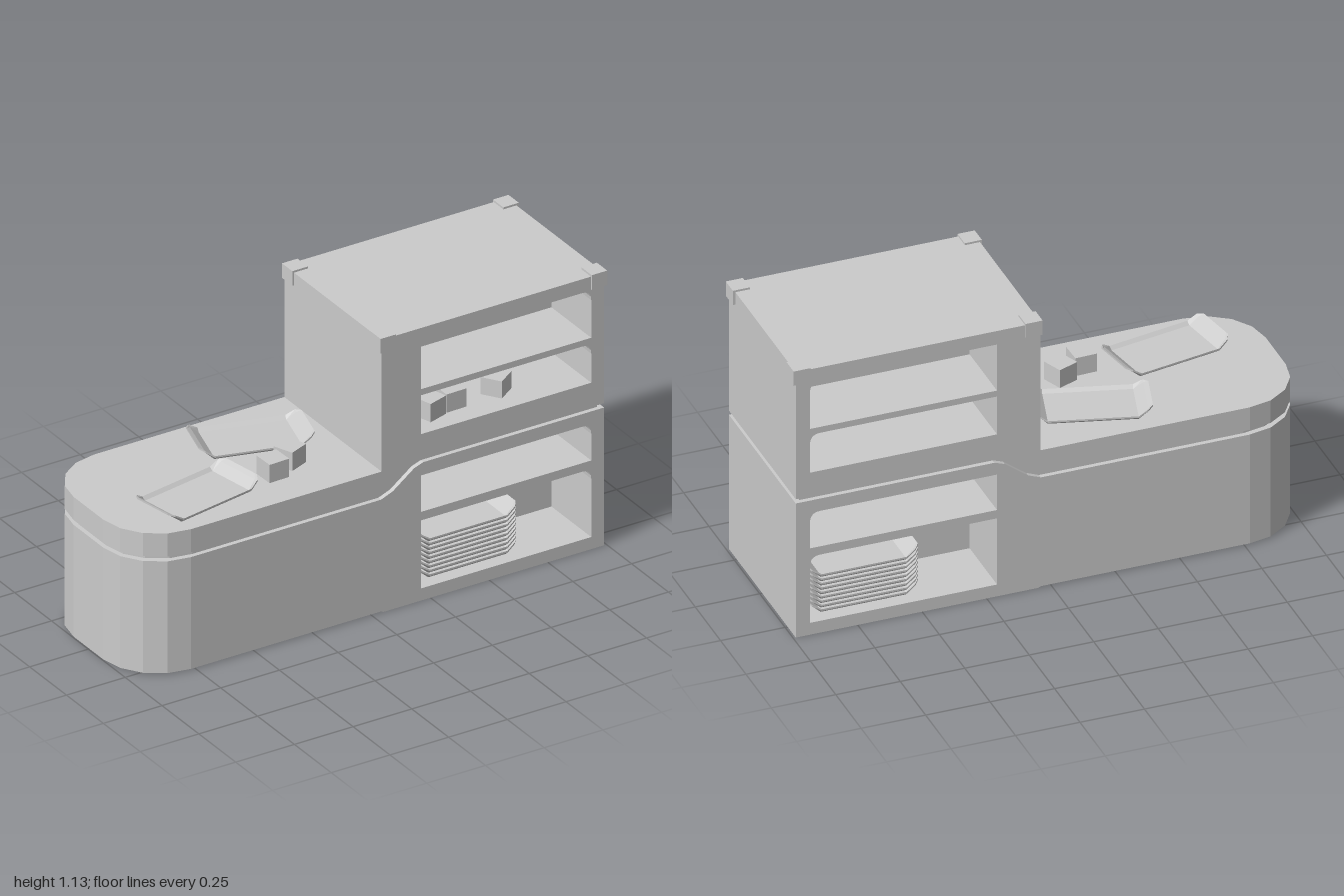
import * as THREE from 'three';

const material = new THREE.MeshStandardMaterial({ color: 0xcccccc, flatShading: true });
const HALF = 0.33, ROUND = 0.23, ARC = 4;

function add(parent, name, geometry, x = 0, y = 0, z = 0, ry = 0) {
  const mesh = new THREE.Mesh(geometry, material);
  mesh.name = name;
  mesh.position.set(x, y, z);
  mesh.rotation.y = ry;
  parent.add(mesh);
  return mesh;
}

// Shelf opening with one rounded upper corner
function opening(y0, y1, r = 0.04) {
  const x0 = 0.21, x1 = 0.935, p = new THREE.Path();
  p.moveTo(x0, y0);
  p.lineTo(x1, y0);
  p.lineTo(x1, y1 - r);
  p.quadraticCurveTo(x1, y1, x1 - r, y1);
  p.lineTo(x0, y1);
  p.closePath();
  return p;
}

// Extrude a side profile across z; its x = -1 edge follows the rounded plan
function slab(points, holes = [], inset = 0) {
  const shape = new THREE.Shape(points.map(([x, y]) => new THREE.Vector2(x, y)));
  shape.holes = holes;
  const steps = 2 * ARC + 1;
  const geo = new THREE.ExtrudeGeometry(shape, { depth: steps, steps, bevelEnabled: false, curveSegments: 5 });
  const pos = geo.attributes.position;
  for (let i = 0; i < pos.count; i++) {
    const row = Math.round(pos.getZ(i));
    const a = Math.min(row, steps - row) / ARC * Math.PI / 2;
    const z = (HALF - ROUND + ROUND * Math.cos(a)) * (row <= ARC ? -1 : 1);
    if (pos.getX(i) < -0.99) pos.setX(i, -1 + ROUND * (1 - Math.sin(a)) + inset);
    pos.setZ(i, z * (HALF - inset) / HALF);
  }
  geo.computeVertexNormals();
  return geo;
}

// Serving tray: shallow lips on the long sides, flared tapered flaps at the ends
function trayGeometry() {
  const t = 0.007;
  const stations = [[-0.218, 0.04, 0.082, 0], [-0.2, 0.03, 0.105, 0.004], [-0.165, 0, 0.112, 0.012],
    [0.165, 0, 0.112, 0.012], [0.2, 0.03, 0.105, 0.004], [0.218, 0.04, 0.082, 0]];
  const verts = [], index = [];
  for (const [x, y, w, lip] of stations) {
    const section = [[-w, lip], [-w + 0.014, 0], [w - 0.014, 0], [w, lip]];
    for (const [z, h] of section) verts.push(x, y + h + t, z);
    for (const [z, h] of section.reverse()) verts.push(x, y + h, z);
  }
  const n = 8;
  for (let s = 0; s < stations.length - 1; s++) {
    for (let k = 0; k < n; k++) {
      const a = s * n + k, b = s * n + (k + 1) % n;
      index.push(a, b, a + n, b, b + n, a + n);
    }
  }
  // End edges
  const last = (stations.length - 1) * n;
  for (let k = 0; k < 3; k++) {
    const a = k, b = k + 1, c = 6 - k, d = 7 - k;
    index.push(a, c, b, a, d, c);
    index.push(last + a, last + b, last + c, last + a, last + c, last + d);
  }
  const geo = new THREE.BufferGeometry();
  geo.setAttribute('position', new THREE.Float32BufferAttribute(verts, 3));
  geo.setIndex(index);
  geo.computeVertexNormals();
  return geo;
}

export function createModel() {
  const model = new THREE.Group();
  model.name = 'servingCounter';

  // Lower cabinet, upper cabinet with counter top, and the recessed seam between
  add(model, 'lowerCabinet', slab(
    [[-1, 0.005], [0.04, 0.005], [0.05, 0], [0.99, 0], [0.99, 0.567], [0.22, 0.567], [0.18, 0.553],
      [0.09, 0.485], [0.04, 0.465], [-1, 0.465]],
    [opening(0.05, 0.33), opening(0.365, 0.515)]));
  add(model, 'upperCabinet', slab(
    [[-1, 0.485], [0.035, 0.485], [0.08, 0.503], [0.17, 0.572], [0.215, 0.585], [0.99, 0.585],
      [0.99, 1.122], [0.042, 1.122], [0.042, 0.58], [-1, 0.58]],
    [opening(0.685, 0.845), opening(0.87, 1.065)]));
  add(model, 'seam', slab(
    [[-1, 0.455], [0.04, 0.455], [0.09, 0.475], [0.18, 0.543], [0.22, 0.557], [0.97, 0.557],
      [0.97, 0.595], [0.215, 0.595], [0.17, 0.577], [0.08, 0.513], [0.035, 0.495], [-1, 0.495]],
    [], 0.018));

  // Wall separating front and back shelves, with slim rails under the ceilings
  add(model, 'shelfDivider', new THREE.BoxGeometry(0.74, 1.03, 0.12), 0.572, 0.555, 0);
  for (const y of [0.797, 1.03]) {
    add(model, 'shelfRail', new THREE.BoxGeometry(0.73, 0.012, 0.14), 0.572, y, 0);
  }

  // Corner caps
  const cap = new THREE.BoxGeometry(0.066, 0.06, 0.07);
  for (const x of [0.068, 0.967]) {
    for (const z of [-0.3, 0.3]) add(model, 'cornerCap', cap, x, 1.1, z);
  }

  // Trays on the counter and stacked in both bottom shelves
  const tray = trayGeometry();
  add(model, 'counterTray', tray, -0.625, 0.581, 0.14, 0.18);
  add(model, 'counterTray', tray, -0.235, 0.581, -0.12, -0.27);
  for (const side of [1, -1]) {
    const stack = new THREE.Group();
    stack.name = side > 0 ? 'frontTrayStack' : 'backTrayStack';
    stack.position.set(0.572 - side * 0.14, 0.06, side * 0.19);
    for (let i = 0; i < 9; i++) add(stack, 'stackedTray', tray, 0, i * 0.0185, 0);
    model.add(stack);
  }

  // Small food boxes: x, floor height, z, turn
  const box = new THREE.BoxGeometry(0.085, 0.075, 0.085);
  for (const [x, y, z, turn] of [[-0.305, 0.58, 0.145, 0.03], [-0.205, 0.58, 0.1, 0.38],
    [0.315, 0.685, 0.22, 0.3], [0.415, 0.685, 0.2, 0.02], [0.61, 0.68, 0.2, 0.6]]) {
    add(model, 'foodBox', box, x, y + 0.0375, z, turn);
  }
  return model;
}
